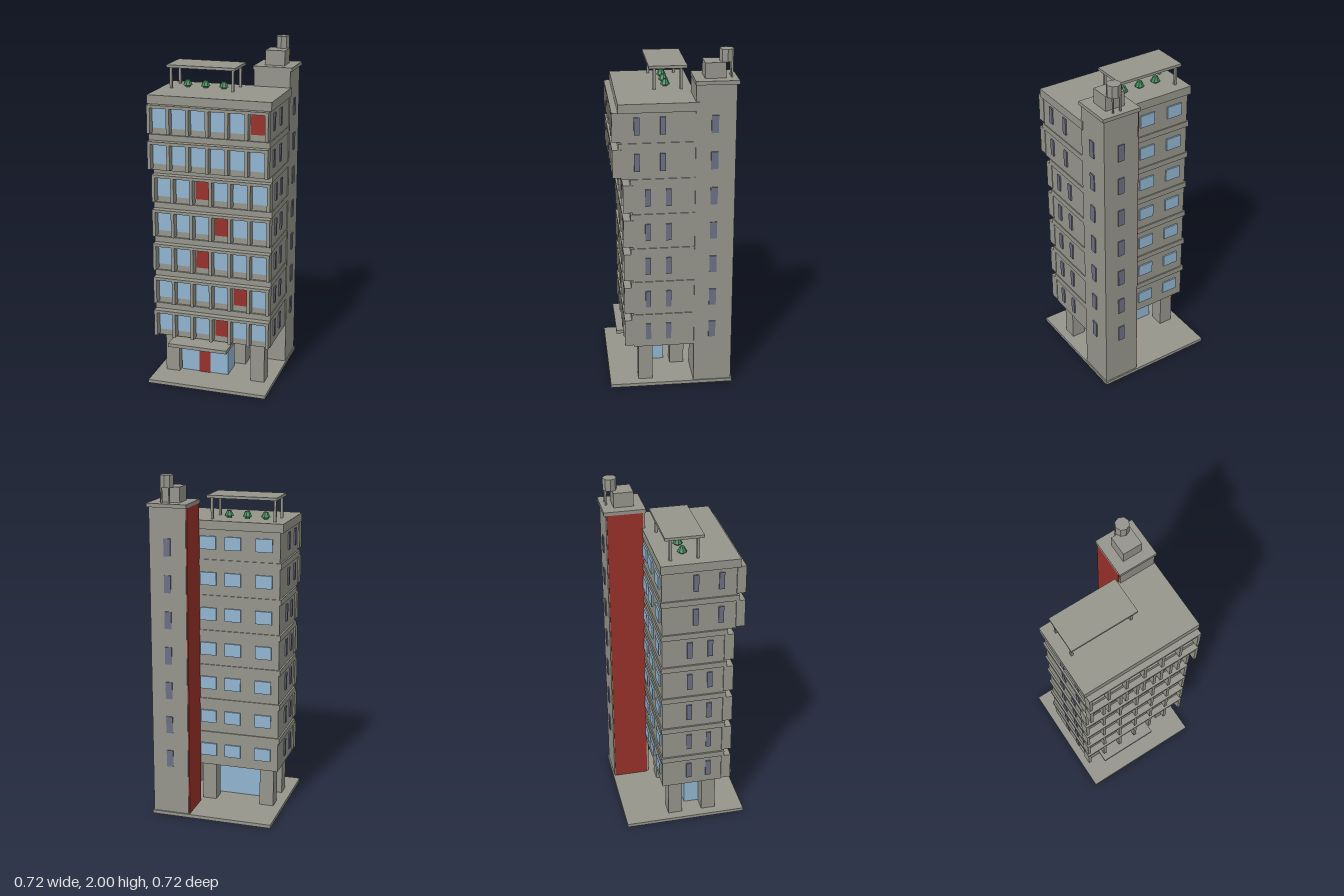
import * as THREE from 'three';

export function createModel() {
  const model = new THREE.Group();
  model.name = 'officeTower';

  const mat = (name, color) => {
    const m = new THREE.MeshStandardMaterial({ color });
    m.name = name;
    return m;
  };
  const concrete = mat('concrete', 0x95958c);
  const glass = mat('lightGlass', 0x91b5d0);
  const red = mat('red', 0x98302a);
  const darkGlass = mat('darkGlass', 0x6c6f84);
  const green = mat('green', 0x3f8757);

  const group = (name, parent = model) => {
    const g = new THREE.Group();
    g.name = name;
    parent.add(g);
    return g;
  };
  // Box given by its limits on each axis
  const box = (parent, name, m, [x0, x1], [y0, y1], [z0, z1]) => {
    const mesh = new THREE.Mesh(new THREE.BoxGeometry(x1 - x0, y1 - y0, z1 - z0), m);
    mesh.position.set((x0 + x1) / 2, (y0 + y1) / 2, (z0 + z1) / 2);
    mesh.name = name;
    parent.add(mesh);
    return mesh;
  };
  const cylinder = (parent, name, m, rTop, rBottom, y0, y1, x, z, sides = 8) => {
    const geo = new THREE.CylinderGeometry(rTop, rBottom, y1 - y0, sides).toNonIndexed();
    geo.computeVertexNormals();
    const mesh = new THREE.Mesh(geo, m);
    mesh.position.set(x, (y0 + y1) / 2, z);
    mesh.name = name;
    parent.add(mesh);
  };
  const around = (c, half) => [c - half, c + half];

  // Ground level
  const ground = group('groundLevel');
  box(ground, 'basePlate', concrete, [-0.363, 0.356], [0, 0.02], [-0.36, 0.36]);
  for (const [x, z] of [[-0.268, 0.15], [0.262, 0.15], [-0.268, -0.055], [0.088, -0.055]])
    box(ground, 'column', concrete, around(x, 0.042), [0.02, 0.265], around(z, 0.042));
  box(ground, 'lobby', glass, [-0.222, 0.07], [0.02, 0.197], [0.02, 0.157]);
  box(ground, 'door', red, [-0.11, -0.04], [0.02, 0.172], [0.156, 0.163]);
  box(ground, 'canopy', concrete, [-0.255, 0.105], [0.224, 0.245], [0.15, 0.307]);

  // Storeys: the top two project further to the front
  const pitch = 0.2077;
  const redBay = [3, 4, 2, 3, 2, -1, 5];
  for (let i = 0; i < 7; i++) {
    const storey = group('storey' + (i + 1));
    const y = 0.26 + i * pitch;
    const upper = i >= 5;
    const front = upper ? 0.282 : 0.22;
    const finFront = upper ? 0.328 : 0.272;
    box(storey, 'storeyBody', concrete, [-0.345, 0.344], [y, y + 0.176], [-0.14, front]);
    if (i < 6)
      box(storey, 'floorSlab', concrete, [-0.355, 0.349], [y + 0.175, y + pitch + 0.001],
        [-0.147, front + 0.012]);

    // Front facade: lintel, fins and panes
    box(storey, 'lintel', concrete, [-0.353, 0.348], [y + 0.157, y + 0.174], [front - 0.005, finFront]);
    for (let k = 0; k < 7; k++)
      box(storey, 'fin', concrete, around(-0.344 + k * 0.1137, 0.009), [y + 0.012, y + 0.158],
        [front - 0.005, finFront]);
    for (let k = 0; k < 6; k++) {
      const isRed = k === redBay[i];
      box(storey, isRed ? 'redPanel' : 'frontWindow', isRed ? red : glass,
        around(-0.288 + k * 0.1137, isRed ? 0.04 : 0.046),
        [y + 0.038, y + (isRed ? 0.15 : 0.157)], [front - 0.001, front + 0.006]);
    }

    // Narrow side windows on both flanks
    for (const z of upper ? [0.193, 0.05] : [0.135, 0.018])
      for (const x of [-0.348, 0.347])
        box(storey, 'sideWindow', darkGlass, around(x, 0.0045), [y + 0.048, y + 0.148], around(z, 0.015));

    // Rear windows
    for (const x of [-0.253, -0.07, 0.077])
      box(storey, 'rearWindow', glass, around(x, 0.048), [y + 0.06, y + 0.135], [-0.149, -0.139]);
  }
  box(model, 'roofSlab', concrete, [-0.363, 0.356], [1.68, 1.73], [-0.148, 0.294]);

  // Stair tower with red inner wall
  const tower = group('stairTower');
  box(tower, 'towerShaft', concrete, [0.136, 0.35], [0.02, 1.826], [-0.352, -0.13]);
  box(tower, 'redWall', red, [0.129, 0.137], [0.02, 1.825], [-0.347, -0.142]);
  box(tower, 'towerCap', concrete, [0.129, 0.361], [1.825, 1.846], [-0.364, -0.126]);
  for (let i = 0; i < 7; i++) {
    const span = [0.308 + i * pitch, 0.408 + i * pitch];
    box(tower, 'towerSideWindow', darkGlass, [0.348, 0.356], span, around(-0.235, 0.02));
    box(tower, 'towerRearWindow', darkGlass, around(0.245, 0.02), span, [-0.358, -0.35]);
  }

  // Machine room and water tank
  box(tower, 'machineRoom', concrete, [0.187, 0.303], [1.845, 1.932], [-0.298, -0.183]);
  cylinder(tower, 'waterTank', concrete, 0.04, 0.04, 1.931, 2, 0.259, -0.306);
  for (const x of [0.237, 0.281])
    for (const z of [-0.333, -0.283])
      box(tower, 'tankLeg', concrete, around(x, 0.004), [1.845, 1.935], around(z, 0.005));

  // Roof terrace: pergola and clipped shrubs
  const terrace = group('roofTerrace');
  box(terrace, 'pergolaRoof', concrete, [-0.315, 0.092], [1.852, 1.868], [-0.115, 0.102]);
  for (const x of [-0.298, 0.07])
    for (const z of [-0.082, 0.07])
      box(terrace, 'pergolaPost', concrete, around(x, 0.007), [1.73, 1.853], around(z, 0.007));
  for (const x of [-0.222, -0.114, -0.005]) {
    cylinder(terrace, 'shrubBase', green, 0.018, 0.015, 1.73, 1.742, x, 0);
    cylinder(terrace, 'shrub', green, 0.013, 0.028, 1.74, 1.77, x, 0);
  }
  return model;
}
